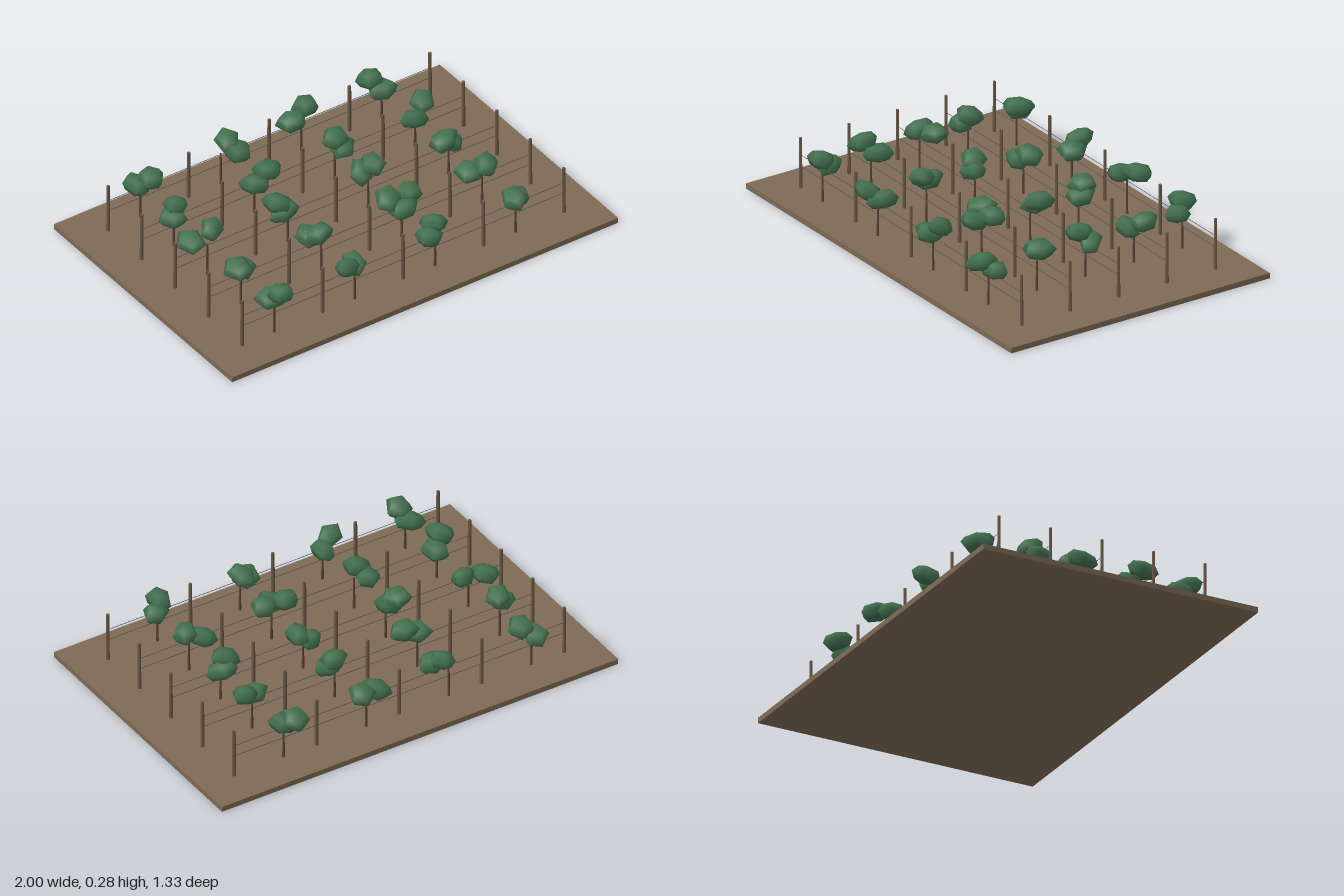
import * as THREE from 'three';

const material = (name, color) => {
  const m = new THREE.MeshStandardMaterial({ color });
  m.name = name;
  return m;
};

// Leaf clumps per row: [dx, dz] of each blob from its vine, in hundredths
const CLUMPS = [
  [[[-1, -2], [4, 2]], [[4, -1], [6, 4]], [[-5, 0], [4, -3]], [[-4, -3], [-1, 2]]],
  [[[1, 0], [-2, 2]], [[-1, 2], [6, 1]], [[1, -1], [3, 1]], [[-2, 2], [5, -2]]],
  [[[-6, -4], [5, -4]], [[-4, -2], [-2, 0]], [[-1, -4], [4, -2]], [[-3, 1], [1, -2]]],
  [[[-3, 2], [2, -2]], [[-4, -4], [-2, 1]], [[-5, -3], [-1, 3], [5, -2]], [[-5, -3], [2, 0]]],
  [[[0, -3], [2, 2]], [[-5, 2], [1, -2]], [[-3, 0], [1, -3]], [[-2, 2], [2, -2]]],
];

export function createModel() {
  const group = new THREE.Group();
  const soil = material('soil brown', 0x7d6a55);
  const wood = material('post wood', 0x6b5845);
  const bark = material('vine bark', 0x5a4636);
  const steel = material('wire grey', 0x50555c);
  const green = material('leaf green', 0x42704f);

  let seed = 7;
  const random = () => (seed = (seed * 16807) % 2147483647) / 2147483647;

  const add = (parent, name, geometry, mat, x, y, z) => {
    const mesh = new THREE.Mesh(geometry, mat);
    mesh.name = name;
    mesh.position.set(x, y, z);
    parent.add(mesh);
    return mesh;
  };

  const groundTop = 0.025;
  const postGeo = new THREE.CylinderGeometry(0.0075, 0.0085, 0.235, 6);
  const trunkGeo = new THREE.CylinderGeometry(0.004, 0.006, 0.16, 6);
  const wireGeo = new THREE.CylinderGeometry(0.0016, 0.0016, 1.667, 4).rotateZ(Math.PI / 2);
  const leafGeo = new THREE.SphereGeometry(1, 5, 4);

  add(group, 'ground', new THREE.BoxGeometry(2, groundTop, 1.333), soil, 0, groundTop / 2, 0);

  CLUMPS.forEach((vines, r) => {
    const row = new THREE.Group();
    row.name = 'vineRow';
    row.position.z = (r - 2) * 0.25;
    group.add(row);

    // Posts and the two wires strung between them
    for (let i = -2; i <= 2; i++) add(row, 'post', postGeo, wood, i * 0.4167, groundTop + 0.1175, 0);
    for (const y of [0.127, 0.18]) add(row, 'wire', wireGeo, steel, 0, y, 0);

    // Vines: a thin trunk with overlapping angular leaf clumps
    vines.forEach((blobs, i) => {
      const vine = new THREE.Group();
      vine.name = 'vine';
      vine.position.x = -0.667 + i * 0.4167;
      row.add(vine);
      add(vine, 'trunk', trunkGeo, bark, 0, groundTop + 0.08, 0);
      blobs.forEach(([dx, dz], k) => {
        const high = (k + i + r) % 2;
        const y = (high ? 0.222 : 0.188) + random() * 0.012;
        const leaf = add(vine, 'leafClump', leafGeo, green, dx / 100, y, dz / 100);
        leaf.scale.set(0.066 + random() * 0.012, 0.042, 0.053 + random() * 0.012);
        leaf.rotation.set((random() - 0.5) * 0.7, random() * Math.PI * 2, (random() - 0.5) * 0.7, 'YXZ');
      });
    });
  });

  return group;
}
